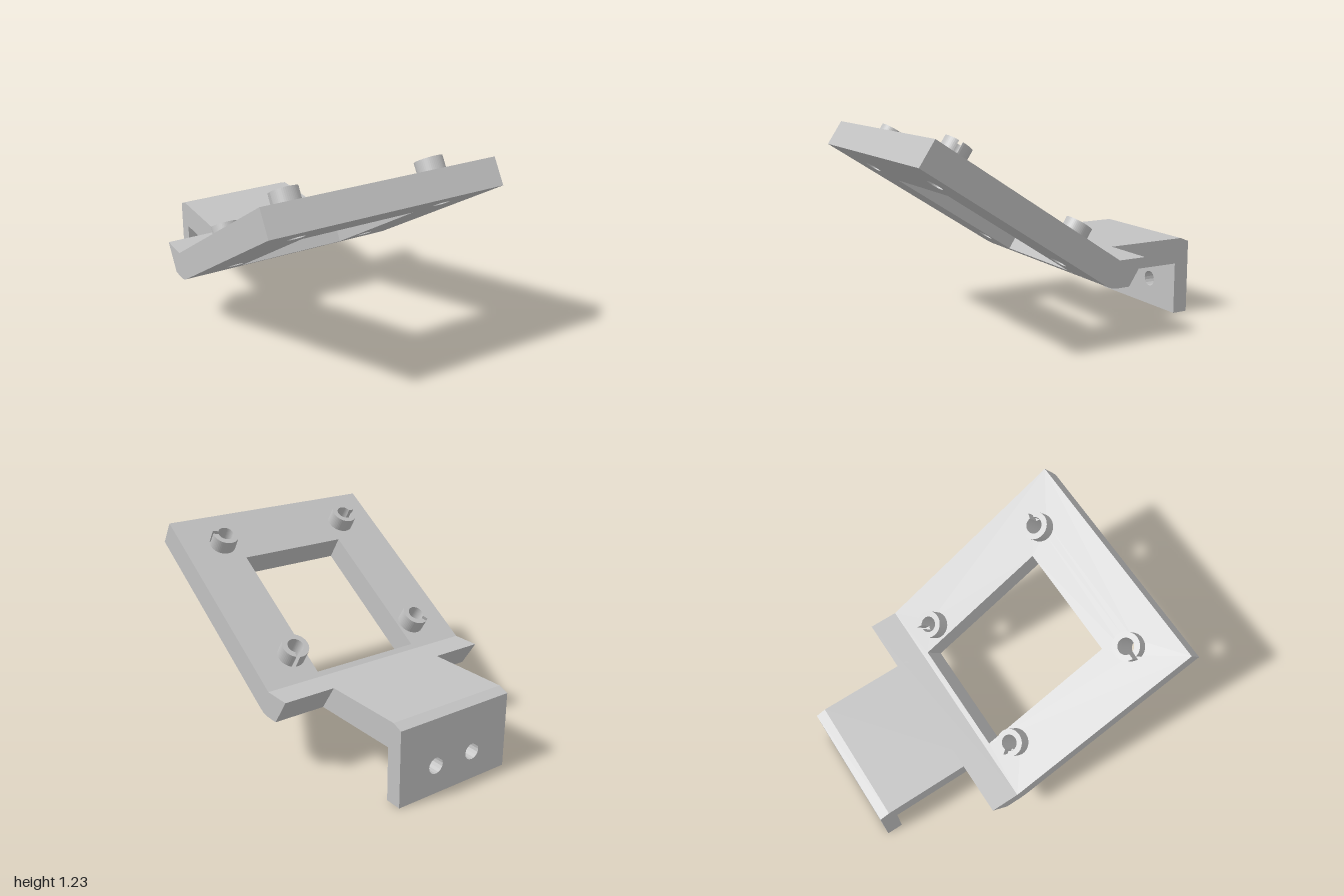
import * as THREE from 'three';

const grey = new THREE.MeshStandardMaterial({ color: 0xc2c2c2 });
grey.name = 'plain grey';

const THICK = 0.166;               // tilted plate thickness
const TILT = 0.58;                 // slope of the plate in radians
const BOSS_X = 0.46, BOSS_R = 0.083, BORE_R = 0.049, BOSS_H = 0.095;

function part(name, shape, depth, curveSegments = 24) {
  const geometry = new THREE.ExtrudeGeometry(shape, { depth, bevelEnabled: false, curveSegments });
  const mesh = new THREE.Mesh(geometry, grey);
  mesh.name = name;
  return mesh;
}

// Side profile given as [z, y] points, extruded across x
function profilePart(name, points, width, x = 0) {
  const shape = new THREE.Shape(points.map(([z, y]) => new THREE.Vector2(-z, y)));
  const mesh = part(name, shape, width);
  mesh.rotation.y = Math.PI / 2;
  mesh.position.x = x - width / 2;
  return mesh;
}

function rectangle(Type, x0, y0, x1, y1) {
  return new Type([[x0, y0], [x1, y0], [x1, y1], [x0, y1]].map(p => new THREE.Vector2(...p)));
}

function roundHole(x, y, r) {
  const path = new THREE.Path();
  path.absarc(x, y, r, 0, Math.PI * 2, true);
  return path;
}

// Split ring: a tube section with a narrow slot at the given angle
function splitRing(angle) {
  const half = 0.012, turn = Math.PI * 2;
  const outer = Math.asin(half / BOSS_R), inner = Math.asin(half / BORE_R);
  const shape = new THREE.Shape();
  shape.absarc(0, 0, BOSS_R, angle + outer, angle + turn - outer, false);
  shape.absarc(0, 0, BORE_R, angle + turn - inner, angle + inner, true);
  shape.closePath();
  return shape;
}

export function createModel() {
  const model = new THREE.Group();
  model.name = 'angledBracket';

  // Tilted plate: local y runs down the slope, local z is its upper normal
  const slope = new THREE.Group();
  slope.name = 'tiltedMount';
  slope.position.set(0, 1.23, 0.907);
  slope.rotation.x = -(Math.PI / 2 + TILT);
  const plate = rectangle(THREE.Shape, -0.72, 0, 0.72, 1.35);
  plate.holes.push(rectangle(THREE.Path, -0.36, 0.382, 0.36, 1.314));

  // Four slotted standoffs above through holes
  const bosses = [
    [-1, 0.239, Math.PI], [1, 0.239, -0.35],
    [-1, 1.159, Math.PI * 0.68], [1, 1.159, Math.PI * 0.4],
  ];
  for (const [side, s, angle] of bosses) {
    plate.holes.push(roundHole(side * BOSS_X, s, BORE_R));
    const boss = part('standoff', splitRing(angle), BOSS_H);
    boss.position.set(side * BOSS_X, s, 0);
    slope.add(boss);
  }
  const plateMesh = part('windowPlate', plate, THICK);
  plateMesh.position.z = -THICK;
  slope.add(plateMesh);
  model.add(slope);

  // Wide bend with a slanted back edge
  model.add(profilePart('bend', [
    [-0.22, 0.49], [-0.40, 0.49], [-0.29, 0.328], [-0.20, 0.328], [-0.165, 0.334], [-0.13, 0.352],
  ], 1.44));

  // Narrow level tongue with a chamfered rear corner
  model.add(profilePart('tongue', [
    [-0.30, 0.49], [-0.935, 0.49], [-0.997, 0.465], [-0.997, 0.328], [-0.29, 0.328],
  ], 0.785));

  // Hanging flange with two screw holes
  const flange = rectangle(THREE.Shape, -0.3925, 0, 0.3925, 0.328);
  flange.holes.push(roundHole(-0.135, 0.175, 0.05), roundHole(0.135, 0.175, 0.05));
  const flangeMesh = part('flange', flange, 0.103, 8);
  flangeMesh.position.z = -0.997;
  model.add(flangeMesh);

  // Very slight turn of the whole bracket
  model.rotation.y = -0.009;
  const root = new THREE.Group();
  root.add(model);
  return root;
}
